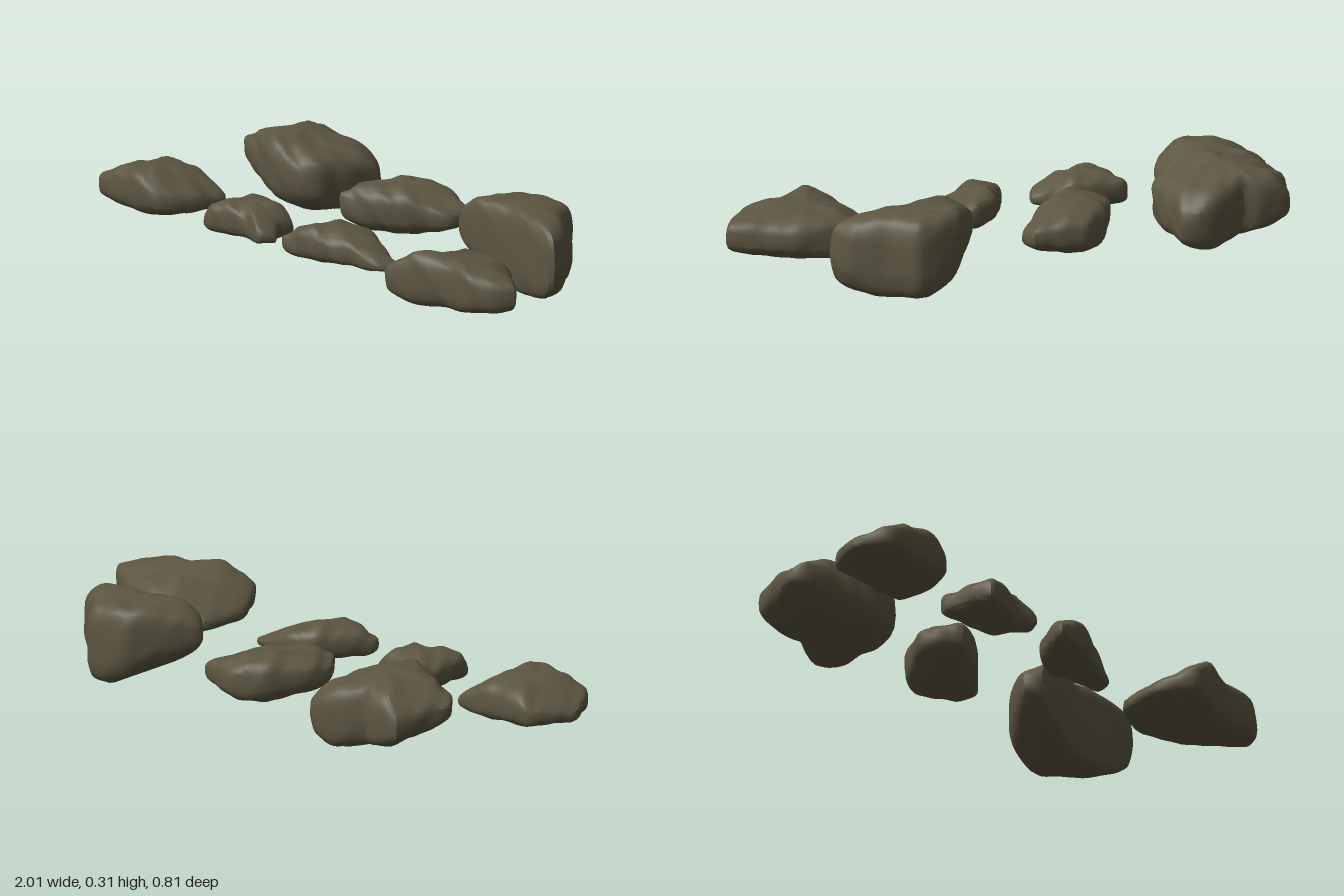
import * as THREE from 'three';
import { mergeVertices, toCreasedNormals } from 'three/addons/utils/BufferGeometryUtils.js';

const SEGMENTS = 64;
const RINGS = 20;

// Value at t (0 to 1) along evenly spaced levels
function sample(levels, t) {
  const p = THREE.MathUtils.clamp(t, 0, 1) * (levels.length - 1);
  const i = Math.min(Math.floor(p), levels.length - 2);
  return THREE.MathUtils.lerp(levels[i], levels[i + 1], p - i);
}

// Smooth lumps with a few sharp ridges
function lumps(x, y, z) {
  const soft = Math.sin(x * 23 + z * 11 + y * 9) * Math.cos(z * 27 - x * 8 + y * 14);
  const ridge = Math.abs(Math.sin(x * 15 - z * 19 + y * 21)) - 0.6;
  const fine = Math.sin(x * 57 + y * 38) * Math.sin(z * 61 - y * 33);
  return soft * 0.4 + ridge * 0.5 + fine * 0.4;
}

// Rounded section from the underside to the top: x = share of outline, y = share of height
function stoneSection() {
  return Array.from({ length: RINGS + 1 }, (_, j) => {
    const angle = Math.PI * j / RINGS;
    const c = Math.cos(angle);
    const reach = j % RINGS === 0 ? 0 : Math.pow(Math.sin(angle), 0.8);
    return new THREE.Vector2(reach, 0.5 - 0.5 * Math.sign(c) * Math.pow(Math.abs(c), 0.6));
  });
}

// Fills a ground outline [x, z] between the top and bottom levels, given from -x to +x.
// boxy below 1 squares the edges; drop lowers the top towards the back, lift raises the underside at the front.
function stoneGeometry(outline, top, bottom, { boxy, rough, drop = 0, lift = 0 }) {
  const points = outline.map(([x, z]) => new THREE.Vector3(x, 0, z));
  const rim = new THREE.CatmullRomCurve3(points, true, 'catmullrom', 0.25).getSpacedPoints(SEGMENTS);
  const box = new THREE.Box3().setFromPoints(rim);
  const size = box.getSize(new THREE.Vector3());
  const center = new THREE.Vector3();
  for (let i = 0; i < SEGMENTS; i++) center.addScaledVector(rim[i], 1 / SEGMENTS);

  const section = stoneSection();
  const lathe = new THREE.LatheGeometry(section, SEGMENTS);
  const pos = lathe.attributes.position;
  for (let i = 0; i <= SEGMENTS; i++) {
    const edge = rim[(SEGMENTS - i) % SEGMENTS];
    section.forEach((ring, j) => {
      const p = center.clone().lerp(edge, Math.pow(ring.x, boxy));
      const t = (p.x - box.min.x) / size.x;
      const front = (p.z - box.min.z) / size.z;
      const high = sample(top, t) - drop * (1 - front);
      const low = sample(bottom, t) + lift * front;
      p.y = THREE.MathUtils.lerp(low, high, ring.y);
      const n = lumps(p.x, p.y, p.z) * rough;
      const swell = 1 + (n - 0.2) * 0.04 * ring.x;
      pos.setXYZ(i * section.length + j,
        center.x + (p.x - center.x) * swell,
        Math.max(0, p.y + n * (ring.y > 0.5 ? 0.01 : -0.005)),
        center.z + (p.z - center.z) * swell);
    });
  }
  lathe.deleteAttribute('uv');
  lathe.deleteAttribute('normal');
  return toCreasedNormals(mergeVertices(lathe, 1e-5), 0.65);
}

export function createModel() {
  const group = new THREE.Group();
  group.name = 'stones';
  const material = new THREE.MeshStandardMaterial({ color: 0x5c5642 });
  material.name = 'mossy brown stone';

  function addStone(name, outline, top, bottom, style) {
    const mesh = new THREE.Mesh(stoneGeometry(outline, top, bottom, style), material);
    mesh.name = name;
    group.add(mesh);
  }

  // Back row
  addStone('backRightStone',
    [[-0.76, -0.38], [-0.64, -0.385], [-0.6, -0.36], [-0.46, -0.405], [-0.365, -0.36], [-0.38, -0.14], [-0.44, -0.07],
      [-0.56, -0.05], [-0.77, -0.13], [-0.825, -0.19]],
    [0.26, 0.3, 0.325, 0.285, 0.27], [0.13, 0.085, 0.055, 0.03, 0.04],
    { boxy: 0.6, rough: 1.1, drop: 0.03, lift: 0.04 });
  addStone('backMiddleStone',
    [[-0.01, -0.355], [0.06, -0.335], [0.15, -0.29], [0.15, -0.21], [0, -0.085], [-0.065, -0.04], [-0.16, -0.015],
      [-0.205, -0.065], [-0.215, -0.145], [-0.12, -0.295]],
    [0.22, 0.245, 0.23, 0.18], [0.12, 0.08, 0.08, 0.1],
    { boxy: 0.8, rough: 1.1 });
  addStone('backLeftStone',
    [[0.46, -0.34], [0.61, -0.355], [0.68, -0.27], [0.78, -0.18], [0.805, -0.095], [0.545, -0.11], [0.34, -0.095],
      [0.3, -0.15], [0.38, -0.255]],
    [0.26, 0.3, 0.29, 0.285, 0.265], [0.14, 0.075, 0.01, 0.005, 0.035],
    { boxy: 0.38, rough: 0.7 });

  // Front row
  addStone('frontLeftStone',
    [[0.5, 0.13], [0.55, 0.075], [0.635, 0.05], [0.81, 0.085], [0.89, 0.14], [1.005, 0.23], [0.97, 0.3], [0.89, 0.34],
      [0.78, 0.34], [0.55, 0.405], [0.48, 0.26]],
    [0.18, 0.265, 0.25, 0.23], [0.085, 0.06, 0.07, 0.08],
    { boxy: 0.48, rough: 0.7, drop: 0.06 });
  addStone('frontRightStone',
    [[-0.92, 0.08], [-0.76, 0.09], [-0.6, 0.1], [-0.62, 0.28], [-0.665, 0.345], [-0.75, 0.365], [-0.945, 0.355],
      [-1.005, 0.22]],
    [0.165, 0.225, 0.235, 0.16], [0.09, 0.08, 0.07, 0.08],
    { boxy: 0.62, rough: 0.8, drop: 0.02 });
  addStone('smallStone',
    [[-0.435, 0.125], [-0.33, 0.13], [-0.195, 0.155], [-0.195, 0.225], [-0.155, 0.27], [-0.18, 0.325], [-0.26, 0.305],
      [-0.43, 0.345], [-0.44, 0.245]],
    [0.18, 0.2, 0.19, 0.125], [0.085, 0.08, 0.08, 0.08],
    { boxy: 0.7, rough: 1.1 });
  addStone('frontMiddleStone',
    [[0.14, 0.1], [0.235, 0.12], [0.325, 0.155], [0.31, 0.22], [0.22, 0.255], [0.085, 0.32], [-0.05, 0.335],
      [-0.055, 0.29], [0.045, 0.14]],
    [0.17, 0.205, 0.165, 0.11], [0.08, 0.08, 0.08, 0.07],
    { boxy: 0.75, rough: 1 });

  return group;
}
